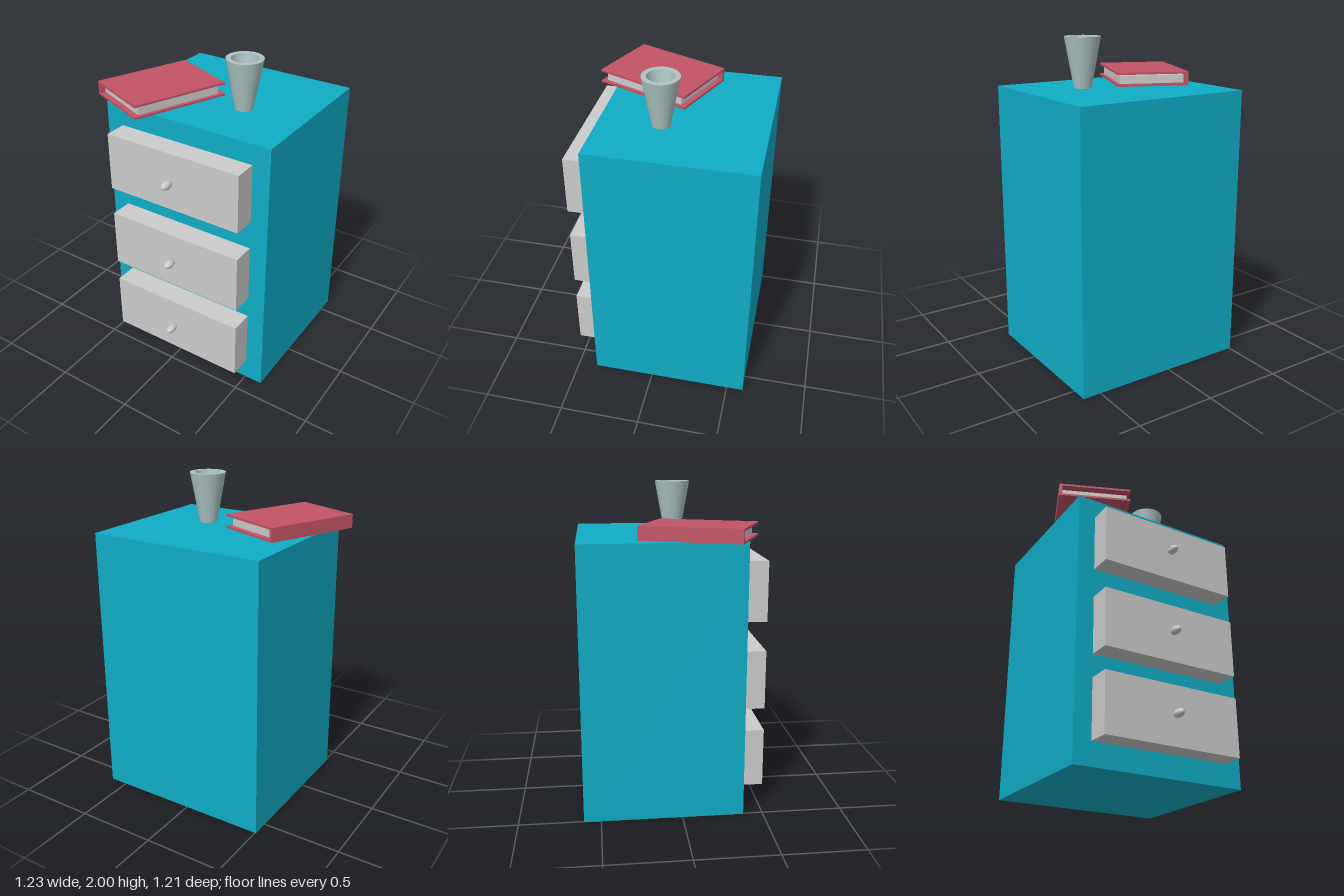
import * as THREE from 'three';
import { toCreasedNormals } from 'three/addons/utils/BufferGeometryUtils.js';

const material = (color) => new THREE.MeshStandardMaterial({ color });

export function createModel() {
  const model = new THREE.Group();
  model.name = 'bedsideCabinet';

  const grey = material(0xcccccc);
  const teal = material(0x0facc5);
  const red = material(0xc35366);
  const pewter = material(0xaec4c5);

  const add = (parent, name, geometry, mat, x, y, z) => {
    const mesh = new THREE.Mesh(geometry, mat);
    mesh.name = name;
    mesh.position.set(x, y, z);
    parent.add(mesh);
    return mesh;
  };
  const box = (w, h, d) => new THREE.BoxGeometry(w, h, d);

  // Cabinet body
  const top = 1.692;
  add(model, 'cabinetBody', box(1.122, top, 0.984), teal, 0.054, top / 2, -0.113);

  // Drawers with egg-shaped knobs
  [0.325, 0.833, 1.382].forEach((y, i) => {
    const drawer = new THREE.Group();
    drawer.name = `drawer${i + 1}`;
    drawer.position.set(0.054, y, 0);
    add(drawer, 'drawerFront', box(0.9, 0.366, 0.16), grey, 0, 0, 0.44);
    const knob = new THREE.SphereGeometry(1, 32, 16).rotateX(Math.PI / 2);
    add(drawer, 'knob', knob, grey, 0, 0, 0.563).scale.set(0.025, 0.025, 0.043);
    model.add(drawer);
  });

  // Tapered hollow cup
  const profile = [
    [0, 0], [0.055, 0], [0.111, 2 - top], [0.08, 2 - top], [0.038, 0.05], [0, 0.05],
  ].map(([r, y]) => new THREE.Vector2(r, y));
  const cup = toCreasedNormals(new THREE.LatheGeometry(profile, 32), 0.6);
  add(model, 'cup', cup, pewter, 0.223, top, 0.012);

  // Book lying flat, spine towards -x
  const book = new THREE.Group();
  book.name = 'book';
  book.position.set(-0.295, top, 0.119);
  book.rotation.y = -THREE.MathUtils.degToRad(22.4);
  const w = 0.447, l = 0.62, h = 0.085, cover = 0.013, spine = 0.021;
  add(book, 'bottomCover', box(w, cover, l), red, 0, cover / 2, 0);
  add(book, 'topCover', box(w, cover, l), red, 0, h - cover / 2, 0);
  add(book, 'spine', box(spine, h - 2 * cover, l), red, (spine - w) / 2, h / 2, 0);
  add(book, 'pages', box(0.405, 0.05, 0.552), grey, 0, cover + 0.025, 0);
  model.add(book);

  return model;
}
